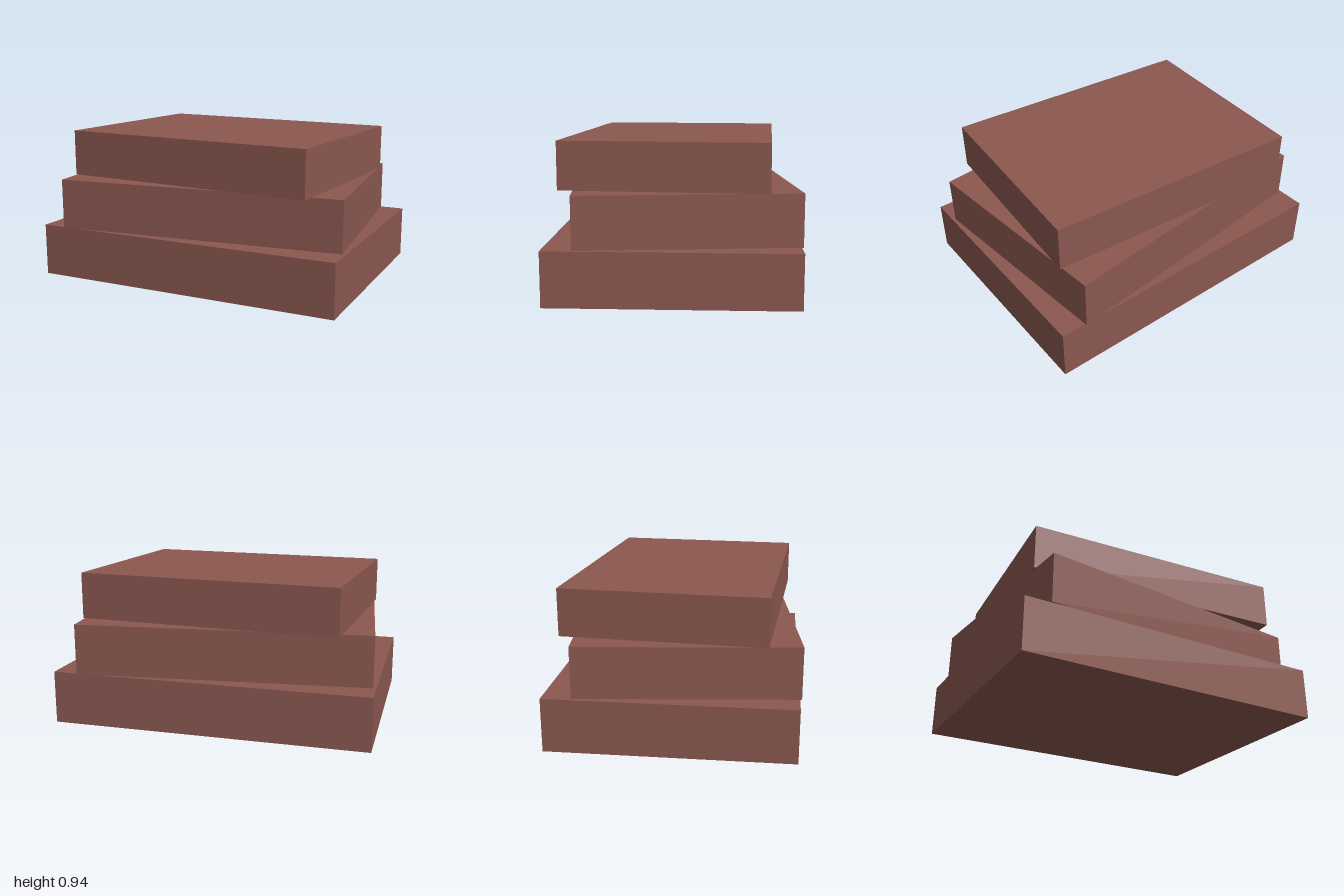
import * as THREE from 'three';

// Three stacked slabs, each smaller and slightly twisted: [name, width, depth, bottom, top, turn in degrees]
const SLABS = [
  ['bottomSlab', 2, 1.5, 0, 0.333, 0],
  ['middleSlab', 1.83, 1.338, 0.333, 0.65, 6],
  ['topSlab', 1.665, 1.247, 0.65, 0.942, -4],
];

export function createModel() {
  const model = new THREE.Group();
  model.name = 'slabStack';
  const clay = new THREE.MeshStandardMaterial({ color: 0x8c5850 });
  clay.name = 'reddish brown';

  for (const [name, width, depth, bottom, top, turn] of SLABS) {
    const slab = new THREE.Mesh(new THREE.BoxGeometry(width, top - bottom, depth), clay);
    slab.name = name;
    slab.position.y = (bottom + top) / 2;
    slab.rotation.y = THREE.MathUtils.degToRad(turn);
    model.add(slab);
  }
  return model;
}
